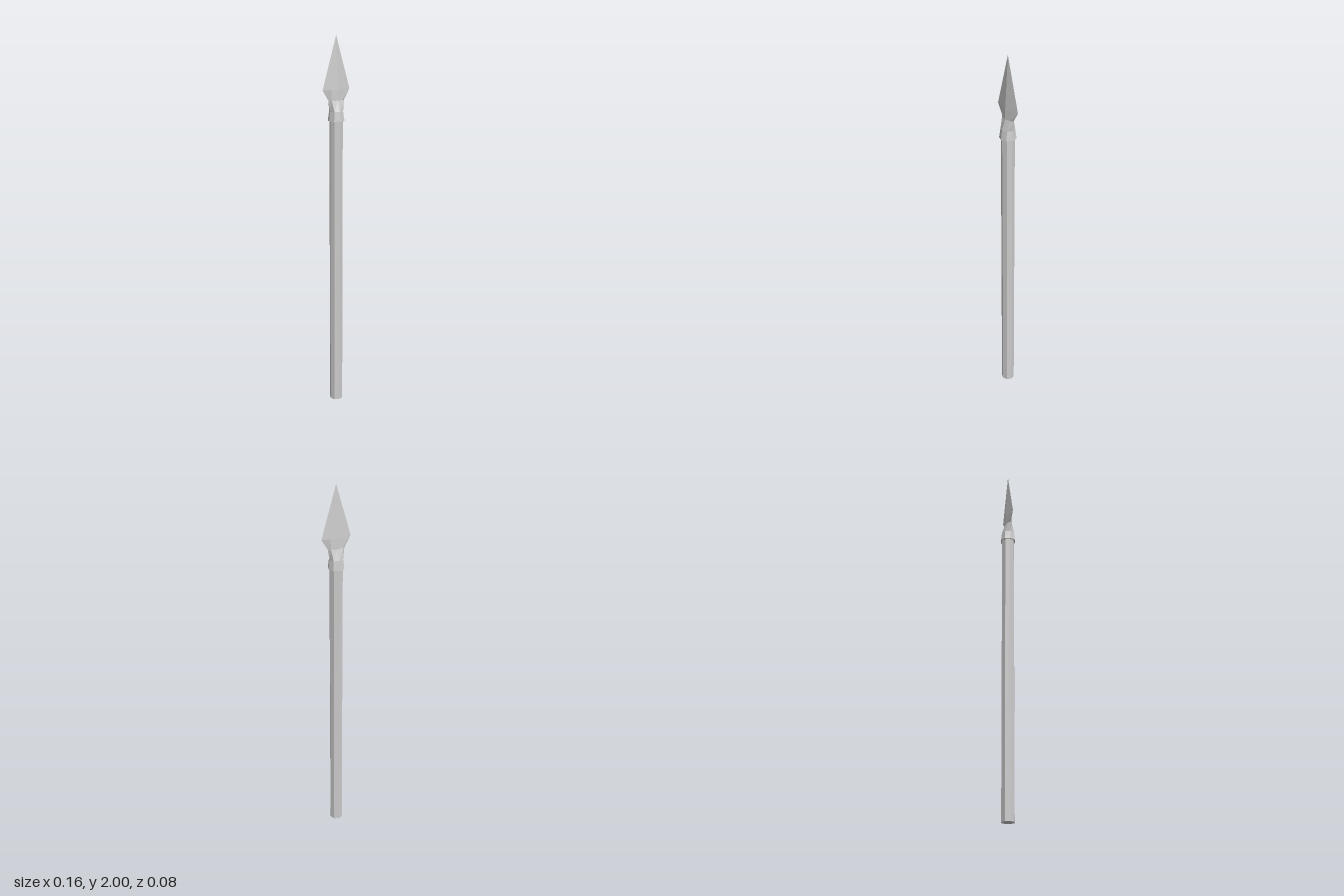
import * as THREE from 'three';

const material = new THREE.MeshStandardMaterial({ color: 0xcccccc, flatShading: true });

// Eight-sided loft: each section is [y, side x, diagonal x, diagonal z, front z]
function loft(sections) {
  const positions = [];
  for (const [y, a, dx, dz, c] of sections) {
    const ring = [[0, c], [dx, dz], [a, 0], [dx, -dz], [0, -c], [-dx, -dz], [-a, 0], [-dx, dz]];
    for (const [x, z] of ring) positions.push(x, y, z);
  }
  const index = [];
  const last = sections.length - 1;
  for (let s = 0; s < last; s++) {
    for (let i = 0; i < 8; i++) {
      const p = s * 8 + i, q = s * 8 + (i + 1) % 8;
      index.push(p, q, q + 8);
      if (s < last - 1) index.push(p, q + 8, p + 8); // the last band ends in a point
    }
  }
  for (let i = 1; i < 7; i++) index.push(0, i + 1, i); // underside of the socket
  const geometry = new THREE.BufferGeometry();
  geometry.setAttribute('position', new THREE.Float32BufferAttribute(positions, 3));
  geometry.setIndex(index);
  const flat = geometry.toNonIndexed();
  flat.computeVertexNormals();
  return flat;
}

export function createModel() {
  const group = new THREE.Group();
  group.name = 'spear';

  // Octagonal shaft
  const shaft = new THREE.Mesh(new THREE.CylinderGeometry(0.035, 0.035, 1.61, 8), material);
  shaft.position.y = 0.805;
  shaft.name = 'shaft';
  group.add(shaft);

  // Flared socket blending into a diamond blade
  const head = new THREE.Mesh(loft([
    [1.57, 0.042, 0.031, 0.031, 0.042],
    [1.62, 0.037, 0.026, 0.026, 0.036],
    [1.675, 0.046, 0.033, 0.011, 0.017],
    [1.73, 0.08, 0.035, 0.009, 0.016],
    [2, 0, 0, 0, 0],
  ]), material);
  head.name = 'spearhead';
  group.add(head);

  return group;
}
